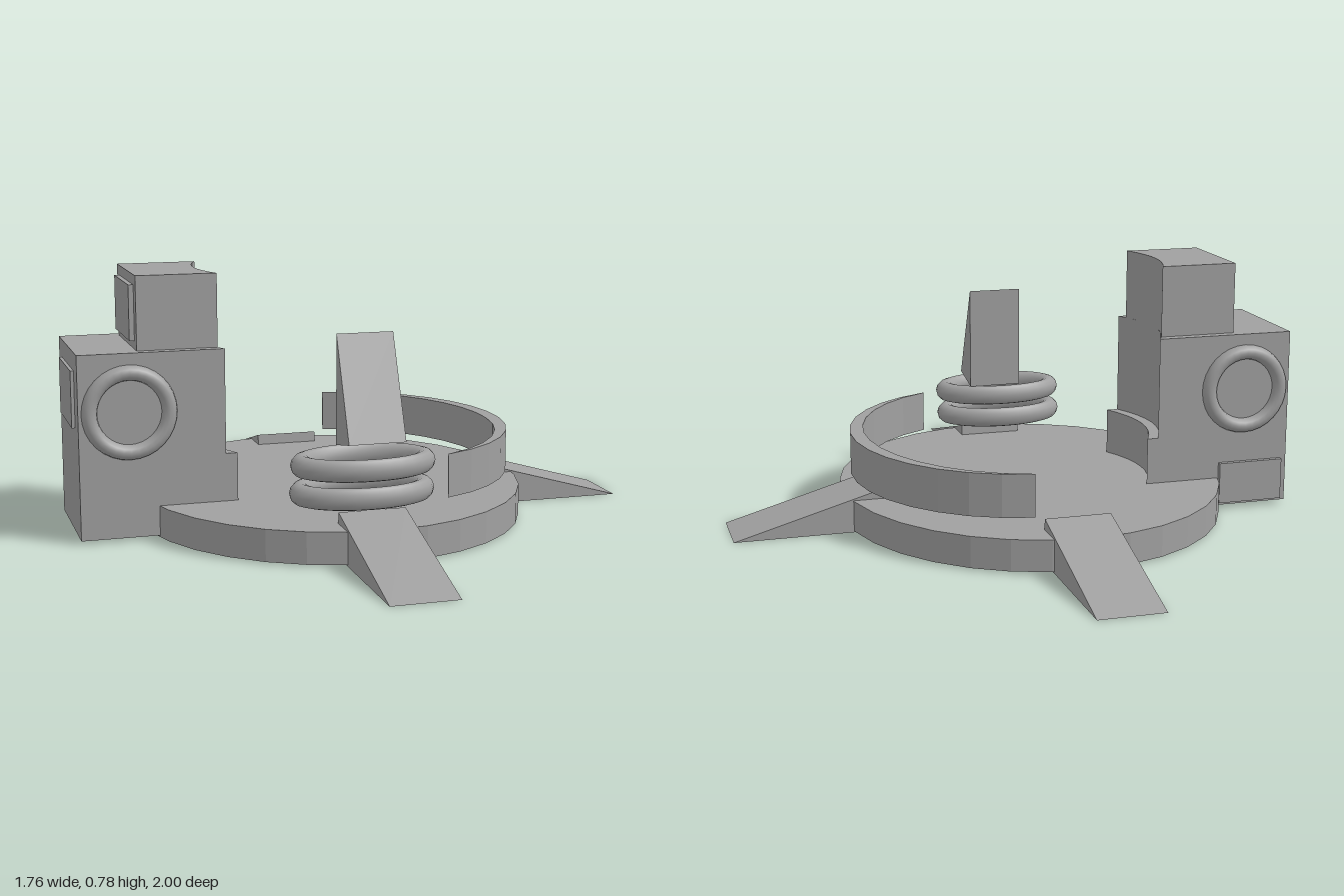
import * as THREE from 'three';

const grey = new THREE.MeshStandardMaterial({ color: 0xa0a0a0 });
grey.name = 'grey';

export function createModel() {
  const model = new THREE.Group();
  model.name = 'arenaModel';

  const add = (name, geometry, x = 0, y = 0, z = 0, turn = 0) => {
    const mesh = new THREE.Mesh(geometry, grey);
    mesh.name = name;
    mesh.position.set(x, y, z);
    mesh.rotation.y = turn;
    model.add(mesh);
    return mesh;
  };

  // Box given by its two corners
  const block = (name, x0, x1, y0, y1, z0, z1) =>
    add(name, new THREE.BoxGeometry(x1 - x0, y1 - y0, z1 - z0),
      (x0 + x1) / 2, (y0 + y1) / 2, (z0 + z1) / 2);

  // Plan outline of [x, z] points raised between two heights
  const raised = (name, points, y0, y1) => {
    const shape = new THREE.Shape(points.map(([x, z]) => new THREE.Vector2(x, -z)));
    const g = new THREE.ExtrudeGeometry(shape, { depth: y1 - y0, bevelEnabled: false });
    return add(name, g.rotateX(-Math.PI / 2), 0, y0, 0);
  };

  // Triangular section swept across its width, centred on the middle
  const wedge = (points, width) => {
    const shape = new THREE.Shape(points.map(([u, y]) => new THREE.Vector2(u, y)));
    return new THREE.ExtrudeGeometry(shape, { depth: width, bevelEnabled: false })
      .translate(0, 0, -width / 2);
  };

  // Faceted oval base
  const disc = new THREE.CylinderGeometry(1, 1, 0.095, 32).scale(0.596, 1, 0.64).toNonIndexed();
  disc.computeVertexNormals();
  add('base', disc, -0.071, 0.0525, 0);

  // Ramps on three sides of the base
  const ramp = wedge([[-0.48, 0], [0, 0], [-0.465, 0.133]], 0.2);
  add('rightRamp', ramp, 0.88, 0, -0.012);
  add('frontRamp', ramp, -0.09, 0, 1, -Math.PI / 2);
  add('backRamp', ramp, -0.06, 0, -1, Math.PI / 2);

  // Crescent wall, thickest in the middle and pointed at both ends
  const outer = [], inner = [], n = 14;
  for (let i = 0; i <= n; i++) {
    const t = i / n;
    const a = THREE.MathUtils.lerp(-1.43, 1.25, t);
    const thick = 0.002 + 0.042 * Math.sin(Math.PI * t);
    outer.push([0.495 * Math.cos(a), -0.012 + 0.53 * Math.sin(a)]);
    inner.unshift([(0.495 - thick) * Math.cos(a), -0.012 + (0.53 - thick) * Math.sin(a)]);
  }
  raised('curvedWall', [...outer, ...inner], 0.14, 0.27);

  // Tower outline with a hollowed inner face
  const hollow = (back, edge, half) => {
    const points = [[back, half]];
    for (let i = 0; i <= 8; i++) {
      const z = half * (1 - i / 4);
      points.push([edge - 0.05 * (1 - (z / 0.19) ** 2), z]);
    }
    points.push([back, -half]);
    return points;
  };
  raised('towerFoot', hollow(-0.87, -0.4, 0.19), 0.01, 0.245);
  raised('towerBody', hollow(-0.87, -0.435, 0.19), 0.245, 0.56);
  raised('towerTop', hollow(-0.69, -0.435, 0.16), 0.56, 0.78);

  // Raised panels on the tower
  block('upperPanel', -0.705, -0.69, 0.585, 0.75, -0.125, 0.125);
  block('lowerPanel', -0.88, -0.87, 0.335, 0.505, -0.125, 0.125);
  block('sidePanel', -0.85, -0.64, 0.02, 0.15, -0.205, -0.19);

  // Round rims on both tower sides
  const rim = new THREE.TorusGeometry(0.118, 0.023, 12, 32);
  for (const side of [-1, 1]) add('sideRim', rim, -0.72, 0.385, side * 0.19);

  // Two stacked oval rings over the front ramp
  const ring = new THREE.TorusGeometry(0.181, 0.032, 12, 32)
    .rotateX(Math.PI / 2).scale(1, 1, 0.59);
  add('upperRing', ring, -0.108, 0.267, 0.507);
  add('lowerRing', ring, -0.113, 0.188, 0.512);

  // Upright fin standing on the rings
  add('fin', wedge([[0.41, 0.3], [0.54, 0.325], [0.415, 0.625]], 0.17),
    -0.075, 0, 0, -Math.PI / 2);

  return model;
}
